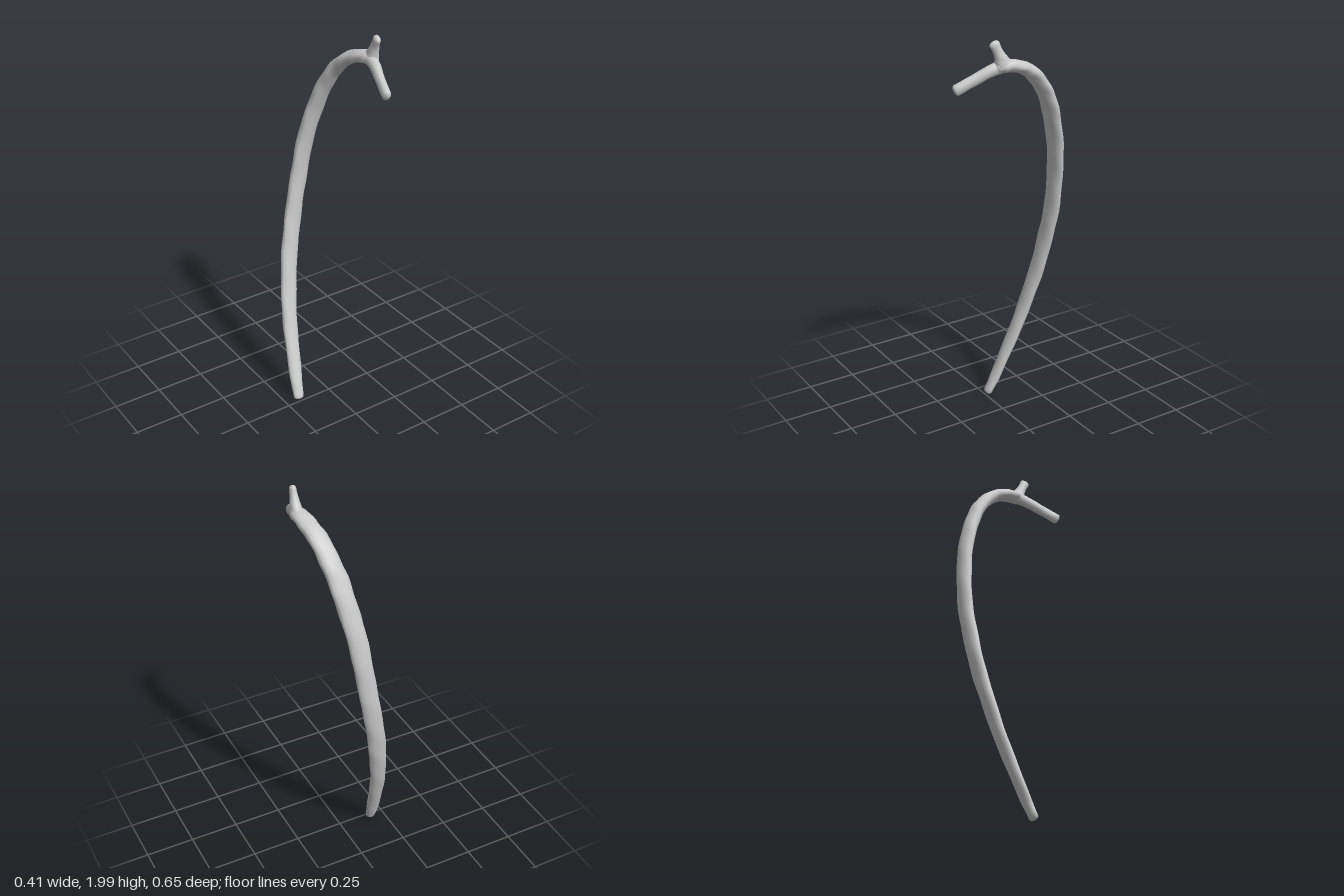
import * as THREE from 'three';

const SIDES = 12;

// Sweeps an elliptical section along stations [x, y, z, wide half, thin half].
// The wide axis turns about y from twist[0] to twist[1].
function sweep(name, stations, twist, steps, bump, material) {
  const path = new THREE.CatmullRomCurve3(stations.map((s) => new THREE.Vector3(s[0], s[1], s[2])));
  const size = new THREE.SplineCurve(stations.map((s) => new THREE.Vector2(s[3], s[4])));
  const positions = [];
  const index = [];
  const addRing = (t, scale, offset) => {
    const tangent = path.getTangent(t);
    const centre = path.getPoint(t).addScaledVector(tangent, offset);
    const turn = THREE.MathUtils.lerp(twist[0], twist[1], t);
    const wide = new THREE.Vector3(Math.cos(turn), 0, Math.sin(turn));
    wide.addScaledVector(tangent, -wide.dot(tangent)).normalize();
    const thin = new THREE.Vector3().crossVectors(tangent, wide);
    const half = size.getPoint(t);
    for (let j = 0; j < SIDES; j++) {
      const a = (j / SIDES) * Math.PI * 2;
      // Gentle uneven bone surface
      const k = scale * (1 + bump * (Math.sin(t * 91 + 2 * a) + Math.sin(t * 53 - a * 3)));
      const p = centre.clone()
        .addScaledVector(wide, Math.cos(a) * half.x * k)
        .addScaledVector(thin, Math.sin(a) * half.y * k);
      positions.push(p.x, p.y, p.z);
    }
  };

  // Blunt rounded ends, full sections between
  addRing(0, 0, -0.012);
  addRing(0, 0.65, -0.009);
  for (let i = 0; i <= steps; i++) addRing(i / steps, 1, 0);
  addRing(1, 0.65, 0.009);
  addRing(1, 0, 0.012);

  const rings = steps + 5;
  for (let i = 0; i < rings - 1; i++) {
    for (let j = 0; j < SIDES; j++) {
      const n = (j + 1) % SIDES;
      const a = i * SIDES + j, b = i * SIDES + n;
      const c = a + SIDES, d = b + SIDES;
      if (i > 0) index.push(a, b, c);
      if (i < rings - 2) index.push(b, d, c);
    }
  }
  const geometry = new THREE.BufferGeometry();
  geometry.setAttribute('position', new THREE.Float32BufferAttribute(positions, 3));
  geometry.setIndex(index);
  geometry.computeVertexNormals();
  const mesh = new THREE.Mesh(geometry, material);
  mesh.name = name;
  return mesh;
}

export function createModel() {
  const group = new THREE.Group();
  group.name = 'rib';
  const material = new THREE.MeshStandardMaterial({ color: 0xcccccc, side: THREE.DoubleSide });

  // Long curved shaft, flattened from side to side
  group.add(sweep('shaft', [
    [-0.177, 0.02, -0.02, 0.027, 0.02],
    [-0.167, 0.1, -0.055, 0.034, 0.021],
    [-0.142, 0.3, -0.135, 0.04, 0.023],
    [-0.113, 0.5, -0.202, 0.044, 0.025],
    [-0.077, 0.7, -0.25, 0.048, 0.026],
    [-0.037, 0.9, -0.28, 0.049, 0.027],
    [0.004, 1.1, -0.29, 0.05, 0.027],
    [0.036, 1.3, -0.281, 0.051, 0.028],
    [0.072, 1.5, -0.244, 0.053, 0.03],
    [0.1, 1.65, -0.192, 0.053, 0.032],
    [0.121, 1.75, -0.135, 0.051, 0.033],
    [0.14, 1.83, -0.055, 0.049, 0.032],
    [0.153, 1.867, 0.025, 0.047, 0.03],
    [0.161, 1.88, 0.1, 0.039, 0.031],
    [0.155, 1.874, 0.135, 0.024, 0.026],
  ], [0.05, -0.28], 60, 0.03, material));

  // Neck reaching forward to the head
  group.add(sweep('neck', [
    [0.158, 1.879, 0.085, 0.03, 0.031],
    [0.147, 1.864, 0.15, 0.026, 0.029],
    [0.122, 1.824, 0.23, 0.022, 0.027],
    [0.098, 1.783, 0.312, 0.021, 0.028],
  ], [0.25, 0.25], 12, 0.015, material));

  // Short upright knob at the bend
  group.add(sweep('tubercle', [
    [0.163, 1.872, 0.1, 0.034, 0.048],
    [0.164, 1.91, 0.114, 0.027, 0.033],
    [0.162, 1.95, 0.132, 0.02, 0.023],
    [0.16, 1.986, 0.149, 0.016, 0.025],
  ], [0.25, 0.25], 12, 0.01, material));

  return group;
}
